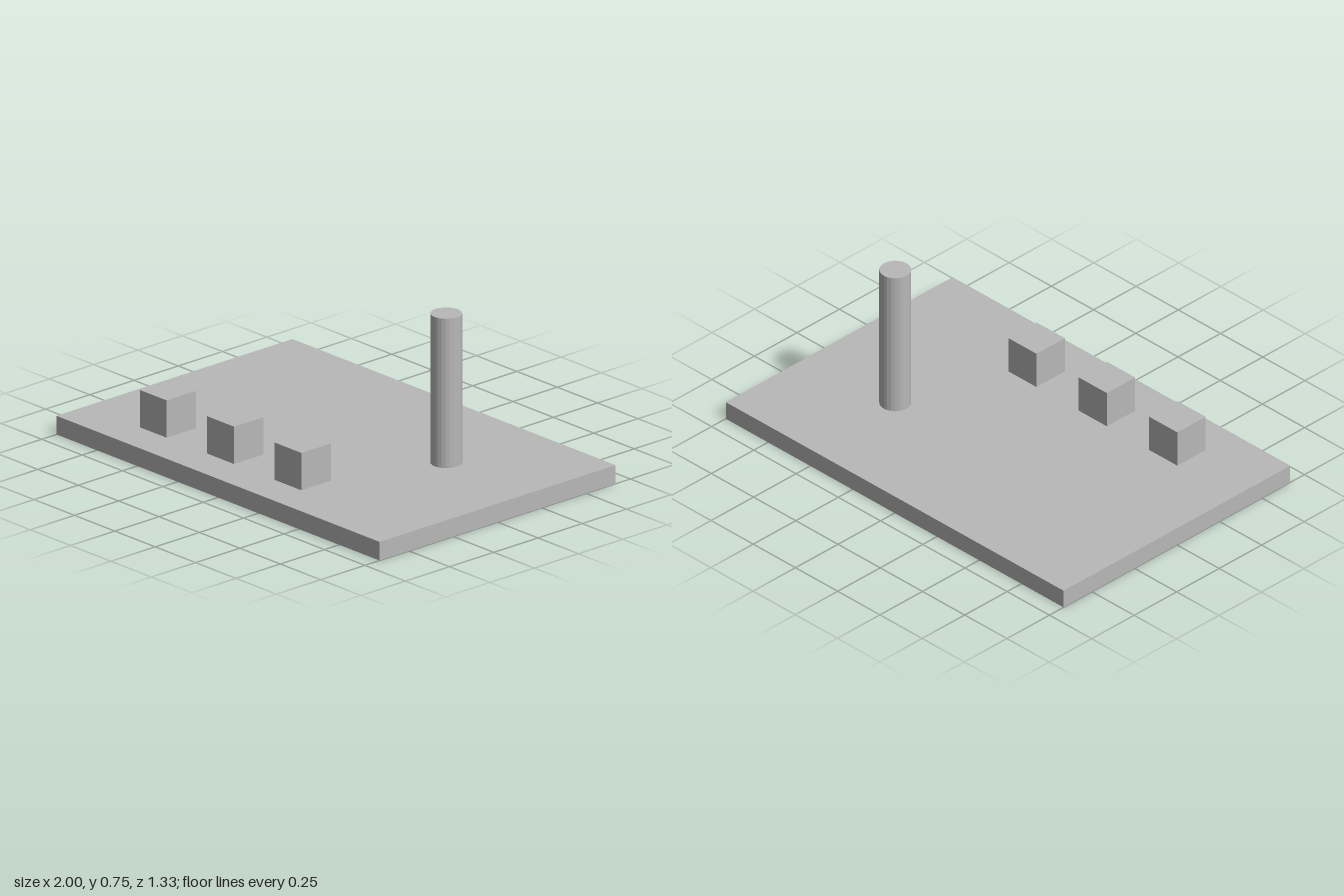
import * as THREE from 'three';

const U = 1 / 12; // module unit: the base is 24 x 16 x 1 units

export function createModel() {
  const group = new THREE.Group();
  const grey = new THREE.MeshStandardMaterial({ color: 0xb8b8b8, flatShading: true });
  grey.name = 'plain grey';

  const add = (name, geometry, x, y, z) => {
    const mesh = new THREE.Mesh(geometry, grey);
    mesh.name = name;
    mesh.position.set(x * U, y * U, z * U);
    group.add(mesh);
  };

  // Flat base plate
  add('basePlate', new THREE.BoxGeometry(24 * U, U, 16 * U), 0, 0.5, 0);

  // Row of three cubes along the front
  const cube = new THREE.BoxGeometry(2 * U, 2 * U, 2 * U);
  [-7, -2, 3].forEach((x, i) => add(`cube${i + 1}`, cube, x, 2, 5));

  // Tall round post
  add('post', new THREE.CylinderGeometry(0.8 * U, 0.8 * U, 8 * U, 24), 6, 5, -2);

  return group;
}
